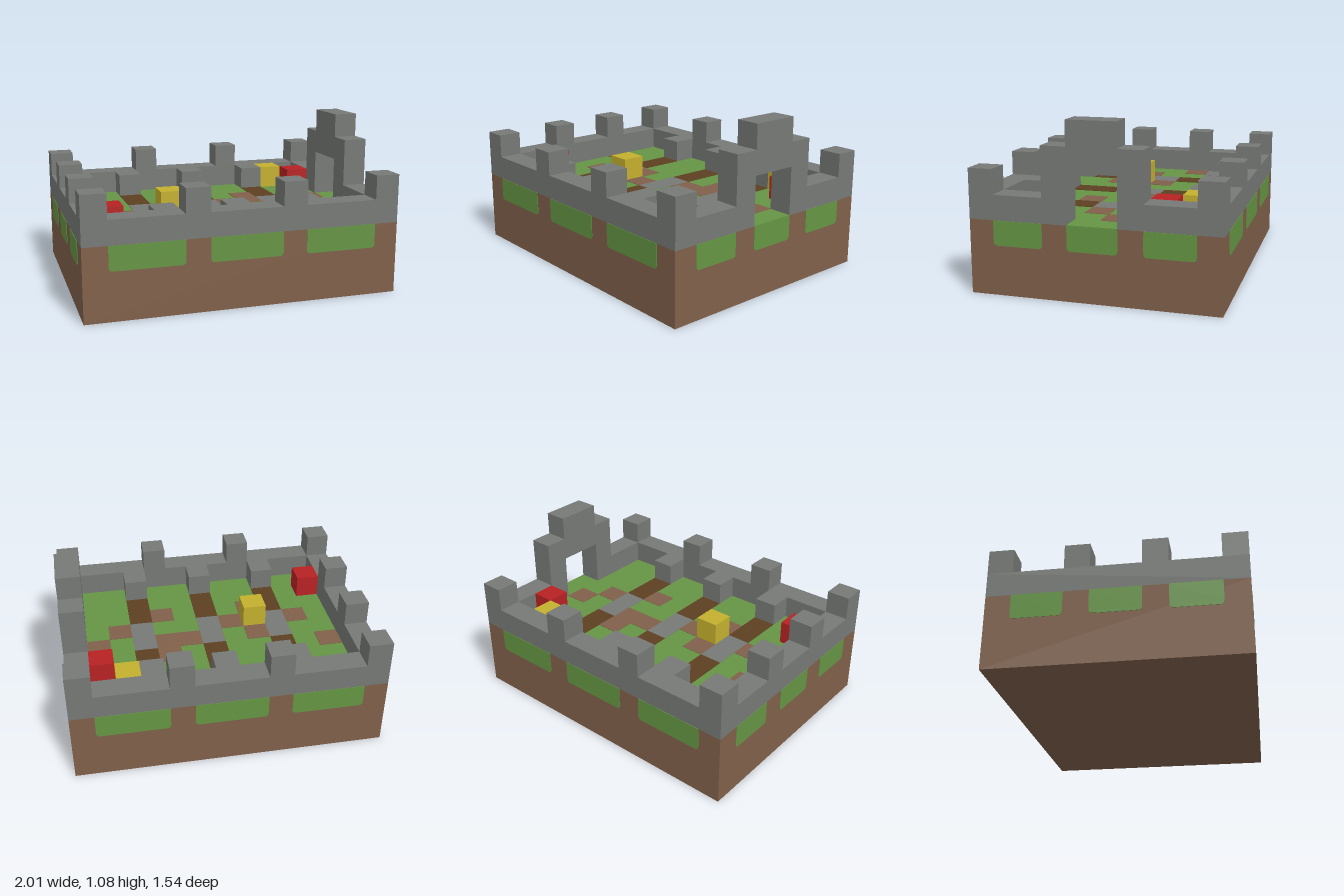
import * as THREE from 'three';

const U = 2 / 13;            // one grid cell; the model is 13 x 10 cells
const NX = 13, NZ = 10;
const X = i => i * U - NX * U / 2;
const Z = j => j * U - NZ * U / 2;
const THIN = 0.003;

const mat = (name, color) => {
  const m = new THREE.MeshStandardMaterial({ color });
  m.name = name;
  return m;
};

export function createModel() {
  const stone = mat('stone', 0x767975);
  const soil = mat('soil', 0x80604a);
  const grass = mat('grass', 0x659544);
  const darkSoil = mat('dark soil', 0x5c4022);
  const gold = mat('gold', 0xc4b02e);
  const red = mat('red', 0xb82224);

  const model = new THREE.Group();
  model.name = 'walledGarden';
  const add = (name, geometry, material, parent = model) => {
    const mesh = new THREE.Mesh(geometry, material);
    mesh.name = name;
    parent.add(mesh);
    return mesh;
  };
  const group = name => {
    const g = new THREE.Group();
    g.name = name;
    model.add(g);
    return g;
  };
  // Box over whole cells, from height y0 up by h
  const block = (name, material, i, j, y0, h, ni = 1, nj = 1, parent = model) => {
    const mesh = add(name, new THREE.BoxGeometry(ni * U, h, nj * U), material, parent);
    mesh.position.set(X(i + ni / 2), y0 + h / 2, Z(j + nj / 2));
    return mesh;
  };
  const shapeOf = pts => new THREE.Shape(pts.map(p => new THREE.Vector2(...p)));
  const extrude = (shape, depth) =>
    new THREE.ExtrudeGeometry(shape, { depth, bevelEnabled: false, curveSegments: 4 });

  // Earth base
  block('earthBase', soil, 0, 0, 0, 3 * U, NX, NZ);

  // Lawn, running out through the gateway
  const floor = 3 * U;
  block('lawn', grass, 1, 1, floor, THIN, 11, 8);
  block('gatewayLawn', grass, 12, 4, floor, THIN, 1, 2);

  // Painted ground: planting beds, paving and bare soil
  const ground = group('groundTiles');
  for (const i of [3, 6, 9]) {
    block('bed', darkSoil, i, 2, floor, 2 * THIN, 1, 2, ground);
    block('paving', stone, i, 4, floor, 2 * THIN, 1, 2, ground);
    block('bed', darkSoil, i, 6, floor, 2 * THIN, 1, 2, ground);
  }
  const bare = [[1, 3], [4, 4], [2, 5], [5, 5], [4, 6], [8, 3], [7, 4], [8, 4], [11, 4], [10, 5], [8, 6]];
  for (const [i, j] of bare) block('bareSoil', soil, i, j, floor, 2 * THIN, 1, 1, ground);

  // Outer wall with inner buttresses and a gap for the gate
  const plan = [[13, 4], [13, 0], [0, 0], [0, 10], [13, 10], [13, 6], [12, 6], [12, 9]];
  for (const i of [9, 6, 3]) plan.push([i + 1, 9], [i + 1, 8], [i, 8], [i, 9]);
  plan.push([1, 9], [1, 1]);
  for (const i of [3, 6, 9]) plan.push([i, 1], [i, 2], [i + 1, 2], [i + 1, 1]);
  plan.push([12, 1], [12, 4]);
  const wall = extrude(shapeOf(plan.map(([i, j]) => [X(i), Z(j)])), U);
  wall.rotateX(Math.PI / 2);
  add('wall', wall, stone).position.y = 4 * U;

  // Merlons
  const merlons = group('merlons');
  for (const i of [0, 4, 8, 12])
    for (const j of [0, 9]) block('merlon', stone, i, j, 4 * U, U, 1, 1, merlons);
  for (const j of [3, 6]) block('merlon', stone, 0, j, 4 * U, U, 1, 1, merlons);

  // Stepped gate arch
  const archPts = [[3, 4], [4, 4], [4, 5], [6, 5], [6, 4], [7, 4], [7, 6], [6, 6], [6, 7], [4, 7], [4, 6], [3, 6]];
  const arch = extrude(shapeOf(archPts.map(([j, k]) => [Z(j), k * U])), U);
  arch.rotateY(-Math.PI / 2);
  add('gateArch', arch, stone).position.x = 1;

  // Coloured cubes in the yard
  for (const [i, j] of [[4, 5], [10, 1]]) block('goldCube', gold, i, j, floor, U);
  for (const [i, j] of [[1, 7], [11, 2]]) block('redCube', red, i, j, floor, U);

  // Overhanging grass on the sides, rounded at the lower corners
  const grassPlate = w => {
    const h = w / 2, r = 0.025, s = new THREE.Shape();
    s.moveTo(-h, 0);
    s.lineTo(-h, r - U);
    s.quadraticCurveTo(-h, -U, r - h, -U);
    s.lineTo(h - r, -U);
    s.quadraticCurveTo(h, -U, h, r - U);
    s.lineTo(h, 0);
    return extrude(s, THIN);
  };
  const fringe = group('sideGrass');
  const longPlate = grassPlate(3 * U), shortPlate = grassPlate(2 * U);
  for (const side of [1, -1]) {
    for (const i of [2.5, 6.5, 10.5]) {
      const p = add('sideGrassPatch', longPlate, grass, fringe);
      p.position.set(X(i), floor, side * Z(NZ));
      p.rotation.y = side > 0 ? 0 : Math.PI;
    }
    for (const j of [2, 5, 8]) {
      const p = add('sideGrassPatch', shortPlate, grass, fringe);
      p.position.set(side, floor, Z(j));
      p.rotation.y = side * Math.PI / 2;
    }
  }
  return model;
}
